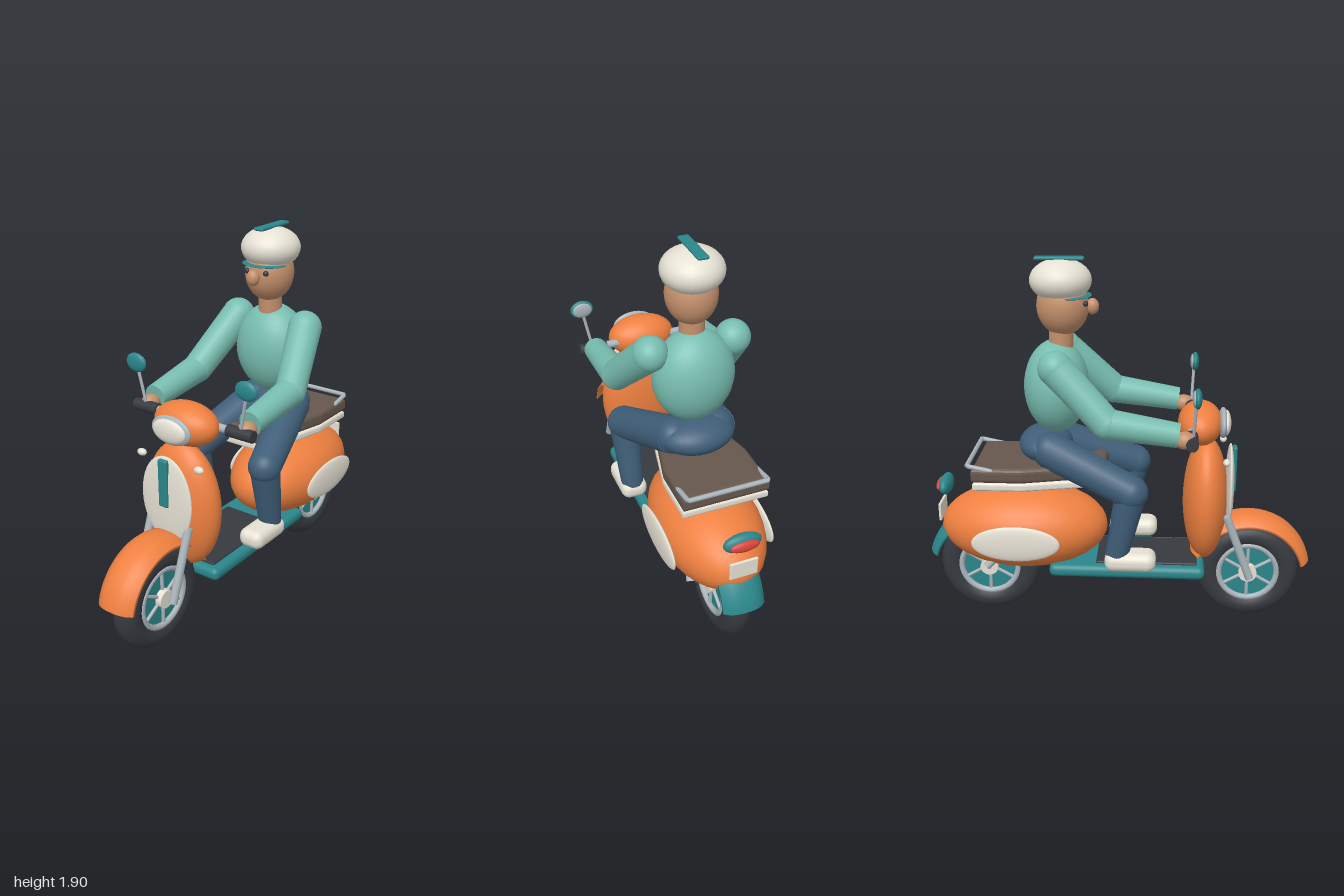
import * as THREE from 'three';
import { RoundedBoxGeometry } from 'three/addons/geometries/RoundedBoxGeometry.js';

const paint = (color, side = THREE.FrontSide) => new THREE.MeshStandardMaterial({ color, side });
const orange = paint(0xee8040, THREE.DoubleSide);
const teal = paint(0x2a868a, THREE.DoubleSide);
const ivory = paint(0xe6e1d4);
const chrome = paint(0xa9b4ba);
const rubber = paint(0x363a40);
const leather = paint(0x66574c);
const shirt = paint(0x78bdb0);
const denim = paint(0x3f5e78);
const skin = paint(0xc4906c);
const red = paint(0xd8453c);

function add(parent, name, geometry, material, pos = [0, 0, 0]) {
  const mesh = new THREE.Mesh(geometry, material);
  mesh.name = name;
  mesh.position.set(...pos);
  parent.add(mesh);
  return mesh;
}

// Ellipsoid
function ball(parent, name, material, pos, radii) {
  const geometry = new THREE.SphereGeometry(1, 32, 20).scale(...radii);
  return add(parent, name, geometry, material, pos);
}

// Rounded box
function block(parent, name, material, pos, size, radius) {
  return add(parent, name, new RoundedBoxGeometry(...size, 3, radius), material, pos);
}

// Tapered rod between two points
function rod(parent, name, material, from, to, r0, r1 = r0) {
  const a = new THREE.Vector3(...from), b = new THREE.Vector3(...to);
  const dir = b.clone().sub(a);
  const mesh = add(parent, name, new THREE.CylinderGeometry(r1, r0, dir.length(), 20), material);
  mesh.position.copy(a).add(b).multiplyScalar(0.5);
  mesh.quaternion.setFromUnitVectors(new THREE.Vector3(0, 1, 0), dir.normalize());
  return mesh;
}

// Curved mudguard: channel profile swept around the wheel axle
function fender(parent, name, material, z, start, end) {
  const profile = [];
  const steps = 8, w = 0.105;
  const arch = (u, r) => new THREE.Vector2(r - 0.04 * Math.pow(Math.abs(u), 3), u * w);
  for (let i = 0; i <= steps; i++) profile.push(arch(-1 + 2 * i / steps, 0.325));
  for (let i = steps; i >= 0; i--) profile.push(arch(-1 + 2 * i / steps, 0.312));
  profile.push(profile[0].clone());
  const geometry = new THREE.LatheGeometry(profile, 32, start, end - start).rotateZ(Math.PI / 2);
  add(parent, name, geometry, material, [0, 0.275, z]);
}

function makeWheel(name, z) {
  const wheel = new THREE.Group();
  wheel.name = name;
  wheel.position.set(0, 0.275, z);
  const disc = (part, r, width, mat) =>
    add(wheel, part, new THREE.CylinderGeometry(r, r, width, 32).rotateZ(Math.PI / 2), mat);
  add(wheel, 'tyre', new THREE.TorusGeometry(0.2, 0.068, 12, 36).rotateY(Math.PI / 2), rubber);
  disc('wheelDisc', 0.15, 0.08, teal);
  disc('hub', 0.047, 0.15, ivory);
  for (const s of [-1, 1]) {
    add(wheel, 'rim', new THREE.TorusGeometry(0.152, 0.016, 8, 36).rotateY(Math.PI / 2), chrome, [s * 0.048, 0, 0]);
    for (let i = 0; i < 6; i++) {
      const a = Math.PI / 2 + i * Math.PI / 3;
      rod(wheel, 'spoke', chrome, [s * 0.046, 0, 0],
        [s * 0.046, Math.sin(a) * 0.148, Math.cos(a) * 0.148], 0.009);
    }
  }
  return wheel;
}

// Tapered slab seen from above: narrow at the front, wide at the rear
function seatSlab(parent, name, material, front, rear, zFront, zRear, yTop, height, bevel) {
  const b = bevel;
  const shape = new THREE.Shape([
    new THREE.Vector2(-front + b, zFront - b), new THREE.Vector2(front - b, zFront - b),
    new THREE.Vector2(rear - b, zRear + 0.25), new THREE.Vector2(rear - b, zRear + b),
    new THREE.Vector2(-rear + b, zRear + b), new THREE.Vector2(-rear + b, zRear + 0.25),
  ]);
  const geometry = new THREE.ExtrudeGeometry(shape, {
    depth: height - 2 * b, bevelSize: b, bevelThickness: b, bevelSegments: 4,
  }).rotateX(Math.PI / 2);
  add(parent, name, geometry, material, [0, yTop - b, 0]);
}

function makeScooter() {
  const g = new THREE.Group();
  g.name = 'scooter';
  g.add(makeWheel('frontWheel', 0.68), makeWheel('rearWheel', -0.685));
  fender(g, 'frontFender', orange, 0.68, 0.23, 2.78);
  fender(g, 'rearMudflap', teal, -0.685, Math.PI - 0.85, Math.PI - 0.27);

  // Front shield and trim
  ball(g, 'legShield', orange, [0, 0.675, 0.447], [0.215, 0.33, 0.115]);
  ball(g, 'shieldPanel', ivory, [0, 0.745, 0.57], [0.15, 0.225, 0.022]);
  block(g, 'shieldStripe', teal, [0, 0.838, 0.59], [0.054, 0.245, 0.025], 0.01);

  // Headlamp housing and handlebar
  ball(g, 'headset', orange, [0, 1.083, 0.41], [0.177, 0.107, 0.112]);
  ball(g, 'headlampRing', chrome, [0, 1.085, 0.525], [0.115, 0.073, 0.025]);
  ball(g, 'headlampLens', ivory, [0, 1.085, 0.54], [0.097, 0.06, 0.025]);
  rod(g, 'handlebar', chrome, [-0.3, 1.085, 0.365], [0.3, 1.085, 0.365], 0.02);

  // Floor, rear body, tail
  block(g, 'floorboard', teal, [0, 0.32, 0.05], [0.39, 0.068, 0.8], 0.03);
  block(g, 'floorMat', rubber, [0, 0.355, 0.15], [0.3, 0.02, 0.52], 0.008);
  ball(g, 'rearBody', orange, [0, 0.507, -0.495], [0.26, 0.223, 0.437]);
  block(g, 'numberPlate', ivory, [0, 0.583, -0.93], [0.14, 0.095, 0.014], 0.005);
  ball(g, 'tailLightHousing', teal, [0, 0.72, -0.902], [0.095, 0.05, 0.034]);
  ball(g, 'tailLight', red, [0, 0.72, -0.93], [0.073, 0.029, 0.02]);

  // Seat and grab rail
  seatSlab(g, 'seatBase', ivory, 0.13, 0.215, -0.07, -0.72, 0.815, 0.045, 0.015);
  seatSlab(g, 'seatCushion', leather, 0.12, 0.215, -0.06, -0.725, 0.89, 0.08, 0.025);
  const rail = new THREE.CurvePath();
  const pts = [[-0.2, 0.87, -0.6], [-0.2, 0.9, -0.745], [0.2, 0.9, -0.745], [0.2, 0.87, -0.6]]
    .map(p => new THREE.Vector3(...p));
  for (let i = 0; i < 3; i++) rail.add(new THREE.LineCurve3(pts[i], pts[i + 1]));
  add(g, 'grabRail', new THREE.TubeGeometry(rail, 60, 0.012, 10), chrome);

  // Mirrored details
  for (const s of [-1, 1]) {
    rod(g, 'fork', chrome, [s * 0.115, 0.27, 0.685], [s * 0.115, 0.62, 0.555], 0.021);
    rod(g, 'grip', rubber, [s * 0.21, 1.085, 0.365], [s * 0.353, 1.085, 0.365], 0.03);
    ball(g, 'turnSignal', ivory, [s * 0.172, 0.935, 0.54], [0.026, 0.018, 0.018]);
    rod(g, 'mirrorStem', chrome, [s * 0.285, 1.1, 0.37], [s * 0.325, 1.3, 0.38], 0.008);
    ball(g, 'mirrorHousing', teal, [s * 0.325, 1.31, 0.385], [0.06, 0.048, 0.02]);
    ball(g, 'mirrorGlass', chrome, [s * 0.325, 1.31, 0.372], [0.05, 0.039, 0.012]);
    ball(g, 'sidePanel', ivory, [s * 0.256, 0.503, -0.508], [0.02, 0.095, 0.225]);
    rod(g, 'rearStrut', chrome, [s * 0.14, 0.37, -0.63], [s * 0.155, 0.32, -0.68], 0.02);
  }
  return g;
}

function makeRider() {
  const g = new THREE.Group();
  g.name = 'rider';
  ball(g, 'torso', shirt, [0, 1.265, -0.31], [0.2, 0.235, 0.162]);
  ball(g, 'pelvis', denim, [0, 0.965, -0.37], [0.185, 0.088, 0.135]);

  // Head and helmet
  rod(g, 'neck', skin, [0, 1.44, -0.285], [0, 1.58, -0.28], 0.06);
  ball(g, 'head', skin, [0, 1.67, -0.272], [0.122, 0.145, 0.128]);
  ball(g, 'nose', skin, [0, 1.667, -0.127], [0.034, 0.04, 0.032]);
  ball(g, 'helmet', ivory, [0, 1.793, -0.28], [0.148, 0.103, 0.151]);
  ball(g, 'helmetBrim', teal, [0, 1.72, -0.225], [0.118, 0.009, 0.095]);
  block(g, 'helmetStripe', teal, [0, 1.897, -0.285], [0.054, 0.016, 0.24], 0.007);

  for (const s of [-1, 1]) {
    ball(g, 'eye', rubber, [s * 0.055, 1.69, -0.157], [0.014, 0.014, 0.014]);

    // Arm
    const shoulder = [s * 0.205, 1.41, -0.29], elbow = [s * 0.287, 1.165, -0.04], wrist = [s * 0.287, 1.115, 0.3];
    ball(g, 'shoulder', shirt, shoulder, [0.085, 0.085, 0.085]);
    rod(g, 'upperArm', shirt, shoulder, elbow, 0.084, 0.076);
    ball(g, 'elbow', shirt, elbow, [0.076, 0.076, 0.076]);
    rod(g, 'forearm', shirt, elbow, wrist, 0.074, 0.06);
    ball(g, 'hand', skin, [s * 0.292, 1.092, 0.33], [0.045, 0.043, 0.052]);

    // Leg
    const hip = [s * 0.11, 0.96, -0.34], knee = [s * 0.22, 0.785, 0.075], ankle = [s * 0.208, 0.43, 0];
    ball(g, 'hip', denim, hip, [0.09, 0.09, 0.09]);
    rod(g, 'thigh', denim, hip, knee, 0.095, 0.084);
    ball(g, 'knee', denim, knee, [0.084, 0.084, 0.084]);
    rod(g, 'shin', denim, knee, ankle, 0.078, 0.058);
    block(g, 'shoe', ivory, [s * 0.207, 0.41, 0.07], [0.14, 0.1, 0.26], 0.045);
  }
  return g;
}

export function createModel() {
  const model = new THREE.Group();
  model.name = 'scooterWithRider';
  model.add(makeScooter(), makeRider());
  return model;
}
